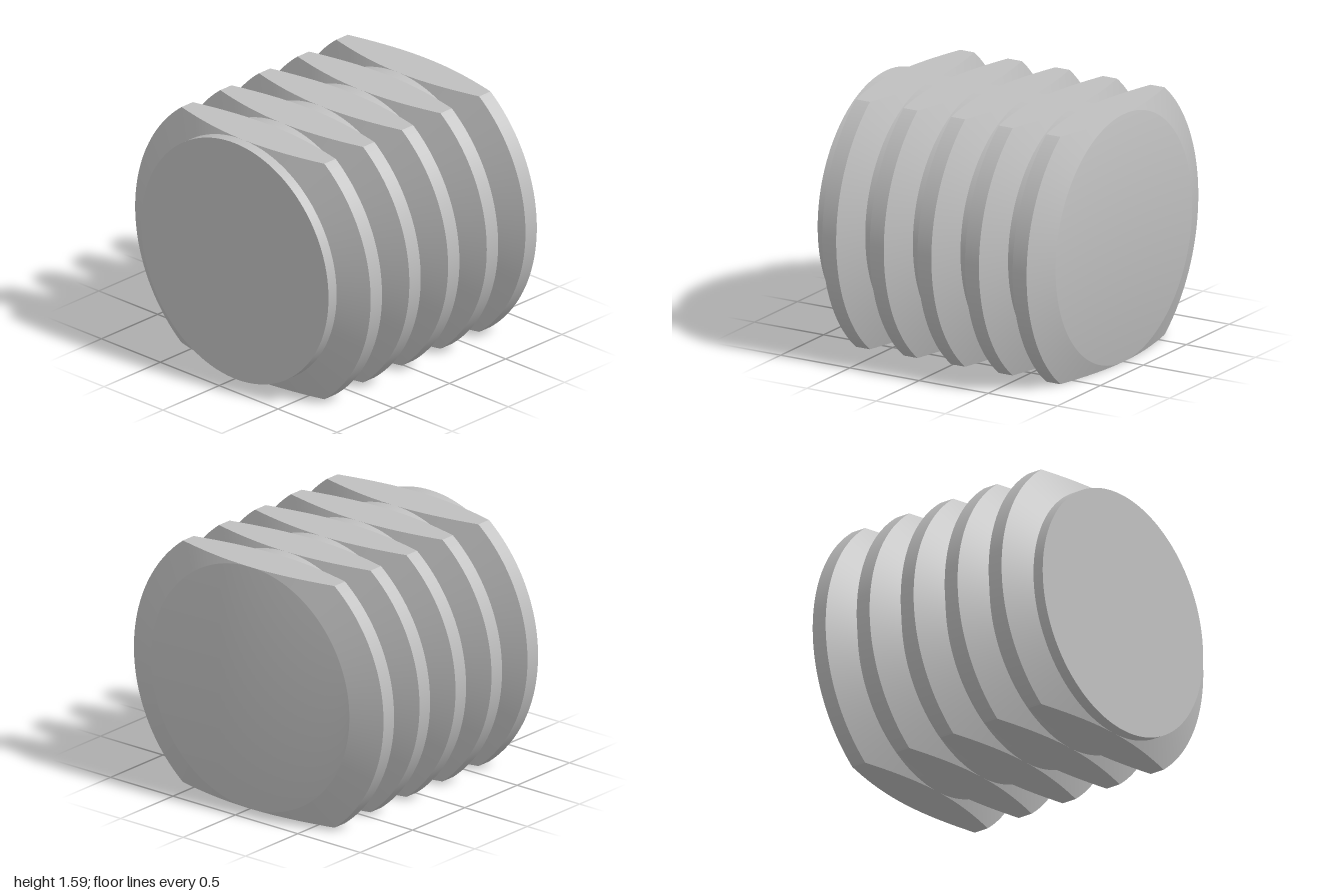
import * as THREE from 'three';

const H = 0.795;        // core radius, also the height of the flats
const R = 1.0;          // rim radius of the ridges
const PITCH = 0.344;    // spacing of the ridges
const COUNT = 5;
const Z0 = -PITCH * COUNT / 2;

// Grid surface: fn(u, v) gives [position, normal]; outward is du x dv
function grid(nu, nv, fn) {
  const pos = [], nor = [], idx = [];
  for (let i = 0; i <= nv; i++) {
    for (let j = 0; j <= nu; j++) {
      const [p, n] = fn(j / nu, i / nv);
      pos.push(...p);
      nor.push(...n);
      if (i < nv && j < nu) {
        const a = i * (nu + 1) + j, d = a + nu + 1;
        idx.push(a, a + 1, d + 1, a, d + 1, d);
      }
    }
  }
  const g = new THREE.BufferGeometry();
  g.setAttribute('position', new THREE.Float32BufferAttribute(pos, 3));
  g.setAttribute('normal', new THREE.Float32BufferAttribute(nor, 3));
  g.setIndex(idx);
  return g;
}

export function createModel() {
  const model = new THREE.Group();
  const body = new THREE.Group();
  body.position.y = H;
  model.add(body);
  const grey = new THREE.MeshStandardMaterial({ color: 0xbfbfbf });
  grey.name = 'grey';

  const add = (parent, name, geometry) => {
    const mesh = new THREE.Mesh(geometry, grey);
    mesh.name = name;
    parent.add(mesh);
    return mesh;
  };

  // Tilt of the softened edge between the back cap and the first cone
  const tilt = 0.5 * Math.atan2(0.083, R - H);

  // Band of revolution around z, cut off by the flats at y = +-H
  function band(parent, name, z0, r0, z1, r1, softStart = false) {
    const ease = t => (r1 > r0 ? t * t : r1 < r0 ? 1 - (1 - t) ** 2 : t);
    const rows = r0 === r1 ? 1 : 12;
    const slope = Math.atan2(r0 - r1, z1 - z0);
    for (const s of [1, -1]) {
      add(parent, name + 'Side', grid(72, rows, (u, v) => {
        const t = ease(v), r = r0 + (r1 - r0) * t;
        const a = Math.asin(Math.min(1, H / r)) * (2 * u - 1);
        let nr = Math.cos(slope), nz = Math.sin(slope);
        if (softStart && v === 0) { nr = Math.sin(tilt); nz = -Math.cos(tilt); }
        const c = s * Math.cos(a), k = s * Math.sin(a);
        return [[r * c, r * k, z0 + (z1 - z0) * t], [nr * c, nr * k, nz]];
      }));
      if (Math.max(r0, r1) > H) {
        add(parent, name + 'Flat', grid(1, rows, (u, v) => {
          const t = ease(v), r = r0 + (r1 - r0) * t;
          const w = Math.sqrt(Math.max(0, r * r - H * H));
          return [[s * w * (1 - 2 * u), s * H, z0 + (z1 - z0) * t], [0, s, 0]];
        }));
      }
    }
  }

  // Ridges, each followed by a groove at core radius
  for (let i = 0; i < COUNT; i++) {
    const ridge = new THREE.Group();
    ridge.name = 'ridge' + (i + 1);
    body.add(ridge);
    const z = Z0 + i * PITCH;
    band(ridge, 'backCone', z, H, z + 0.083, R, i === 0);
    band(ridge, 'rim', z + 0.083, R, z + 0.184, R);
    band(ridge, 'frontCone', z + 0.184, R, z + 0.272, H);
    band(ridge, 'groove', z + 0.272, H, z + PITCH, H);
  }

  // Front cap
  add(body, 'frontCap', new THREE.CircleGeometry(H, 144)).position.z = -Z0;

  // Back cap in upright strips, shaded softly into the first cone
  add(body, 'backCap', grid(72, 1, (u, v) => {
    const a = Math.PI * u, c = Math.cos(a), k = Math.sin(a) * (2 * v - 1);
    return [[H * c, H * k, Z0], [Math.sin(tilt) * c, Math.sin(tilt) * k, -Math.cos(tilt)]];
  }));

  return model;
}
